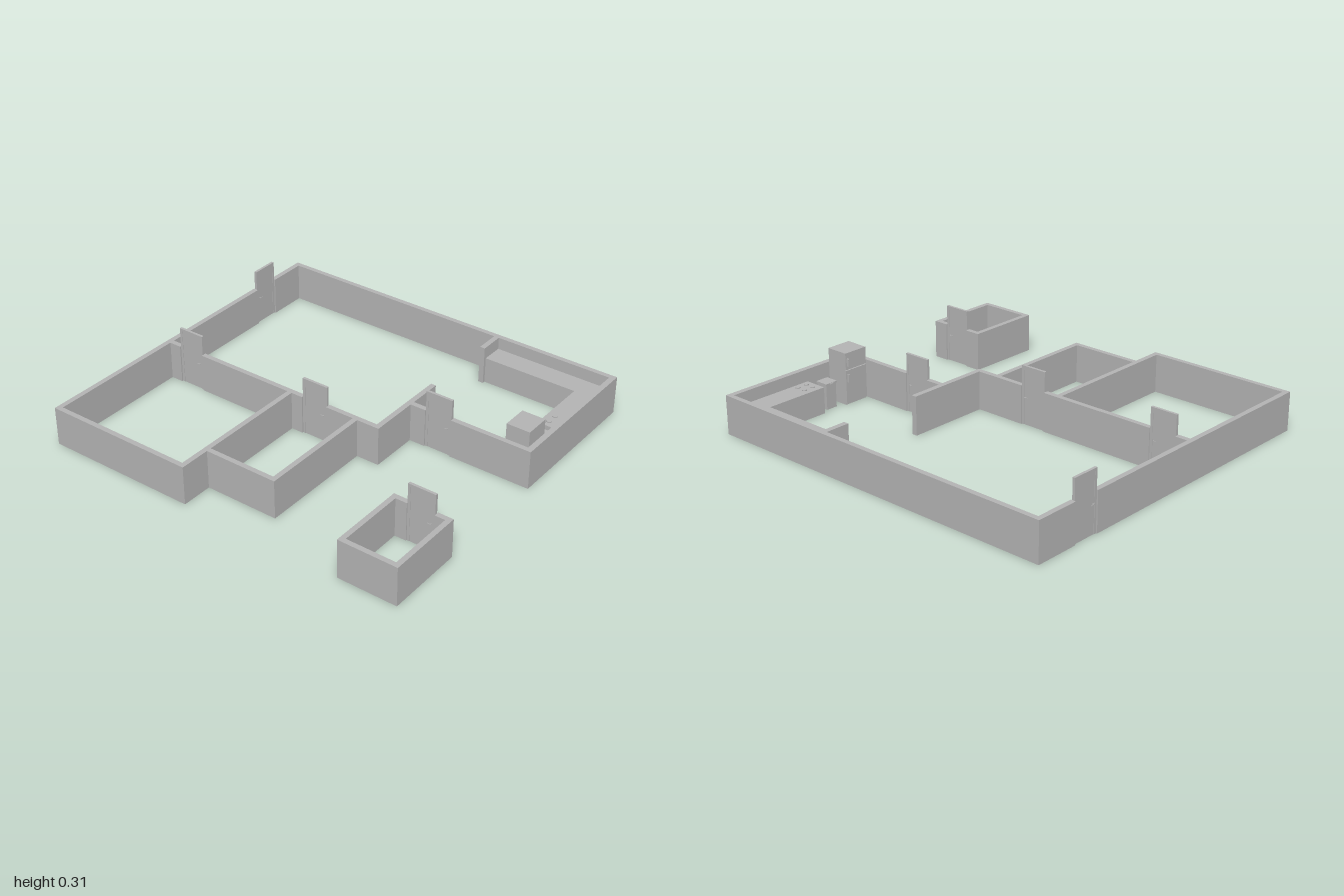
import * as THREE from 'three';

const plaster = new THREE.MeshStandardMaterial({ color: 0xb2b2b2 });
plaster.name = 'plain grey';

// Box given by its limits on each axis
function block(parent, name, x0, x1, y0, y1, z0, z1) {
  const mesh = new THREE.Mesh(new THREE.BoxGeometry(x1 - x0, y1 - y0, z1 - z0), plaster);
  mesh.position.set((x0 + x1) / 2, (y0 + y1) / 2, (z0 + z1) / 2);
  mesh.name = name;
  parent.add(mesh);
  return mesh;
}

const WALL_H = 0.205;
const DOOR_H = 0.31;
const DOOR_W = 0.146;

// Door across local x, with a raised frame and a lever handle on both faces
function makeDoor(name, x, z, turn) {
  const door = new THREE.Group();
  door.name = name;
  const h = DOOR_W / 2, f = 0.014, t = 0.007;
  block(door, 'doorLeaf', -h + f, h - f, 0, DOOR_H - f, -0.005, 0.005);
  block(door, 'doorFrameTop', -h, h, DOOR_H - f, DOOR_H, -t, t);
  for (const s of [-1, 1]) {
    const edge = s * (h - f / 2);
    block(door, 'doorJamb', edge - f / 2, edge + f / 2, 0, DOOR_H - f, -t, t);
    const stem = new THREE.Mesh(new THREE.CylinderGeometry(0.003, 0.003, 0.008, 8), plaster);
    stem.name = 'handleStem';
    stem.rotation.x = Math.PI / 2;
    stem.position.set(-0.051, 0.145, s * 0.008);
    door.add(stem);
    block(door, 'handleLever', -0.054, -0.034, 0.143, 0.147, s * 0.011 - 0.0015, s * 0.011 + 0.0015);
  }
  door.position.set(x, 0, z);
  door.rotation.y = turn;
  return door;
}

export function createModel() {
  const model = new THREE.Group();
  model.name = 'floorPlan';

  // Walls as plan rectangles: x0, x1, z0, z1, with gaps left for doors
  const plans = {
    mainHouse: [
      [-0.93, 0.551, -1, -0.973], [0.697, 0.93, -1, -0.973],
      [0.903, 0.93, -0.973, 0.97],
      [-0.93, -0.903, -0.973, -0.212], [-0.93, -0.146, -0.212, -0.185],
      [-0.146, -0.119, -0.973, -0.907], [-0.146, -0.119, -0.761, -0.121],
      [-0.146, -0.119, 0.025, 0.305],
      [-0.765, -0.738, -0.185, 0.183], [-0.765, -0.146, 0.183, 0.21],
    ],
    kitchen: [
      [-0.146, 0.33, 0.305, 0.333], [0.77, 0.903, 0.305, 0.333],
      [0.117, 0.144, 0.333, 0.417], [0.117, 0.144, 0.563, 0.97],
      [0.117, 0.93, 0.97, 1],
    ],
    outbuilding: [
      [-0.93, -0.515, 0.685, 0.712], [-0.93, -0.515, 0.973, 1],
      [-0.93, -0.903, 0.712, 0.973],
      [-0.542, -0.515, 0.712, 0.773], [-0.542, -0.515, 0.919, 0.973],
    ],
  };
  for (const [name, walls] of Object.entries(plans)) {
    const room = new THREE.Group();
    room.name = name + 'Walls';
    for (const [x0, x1, z0, z1] of walls) block(room, 'wall', x0, x1, 0, WALL_H, z0, z1);
    model.add(room);
  }

  // Doors
  const side = Math.PI / 2;
  model.add(
    makeDoor('backDoor', 0.624, -0.987, 0),
    makeDoor('bedroomDoor', -0.132, -0.834, side),
    makeDoor('bathroomDoor', -0.132, -0.048, side),
    makeDoor('kitchenDoor', 0.13, 0.49, side),
    makeDoor('outbuildingDoor', -0.53, 0.846, side),
  );

  // L-shaped counter with hob rings
  const counter = new THREE.Group();
  counter.name = 'counter';
  block(counter, 'counterSide', 0.785, 0.903, 0, 0.14, 0.333, 0.97);
  block(counter, 'counterFront', 0.438, 0.785, 0, 0.14, 0.848, 0.97);
  for (const x of [0.475, 0.53]) for (const z of [0.89, 0.938]) {
    const ring = new THREE.Mesh(new THREE.CylinderGeometry(0.012, 0.012, 0.005, 16), plaster);
    ring.name = 'hobRing';
    ring.position.set(x, 0.1425, z);
    counter.add(ring);
  }
  model.add(counter);

  // Fridge facing the room, with two handles
  const fridge = new THREE.Group();
  fridge.name = 'fridge';
  block(fridge, 'fridgeBody', 0.155, 0.293, 0, 0.28, 0.85, 0.967);
  block(fridge, 'fridgeLowerDoor', 0.155, 0.293, 0.008, 0.186, 0.842, 0.85);
  block(fridge, 'fridgeUpperDoor', 0.155, 0.293, 0.191, 0.28, 0.842, 0.85);
  for (const y of [0.125, 0.21]) block(fridge, 'fridgeHandle', 0.277, 0.285, y, y + 0.04, 0.83, 0.842);
  model.add(fridge);

  // Small bin with a pull
  const bin = new THREE.Group();
  bin.name = 'bin';
  block(bin, 'binBody', 0.338, 0.402, 0, 0.13, 0.872, 0.937);
  block(bin, 'binLid', 0.334, 0.406, 0.13, 0.14, 0.868, 0.94);
  block(bin, 'binPull', 0.36, 0.38, 0.132, 0.138, 0.862, 0.868);
  model.add(bin);

  return model;
}
